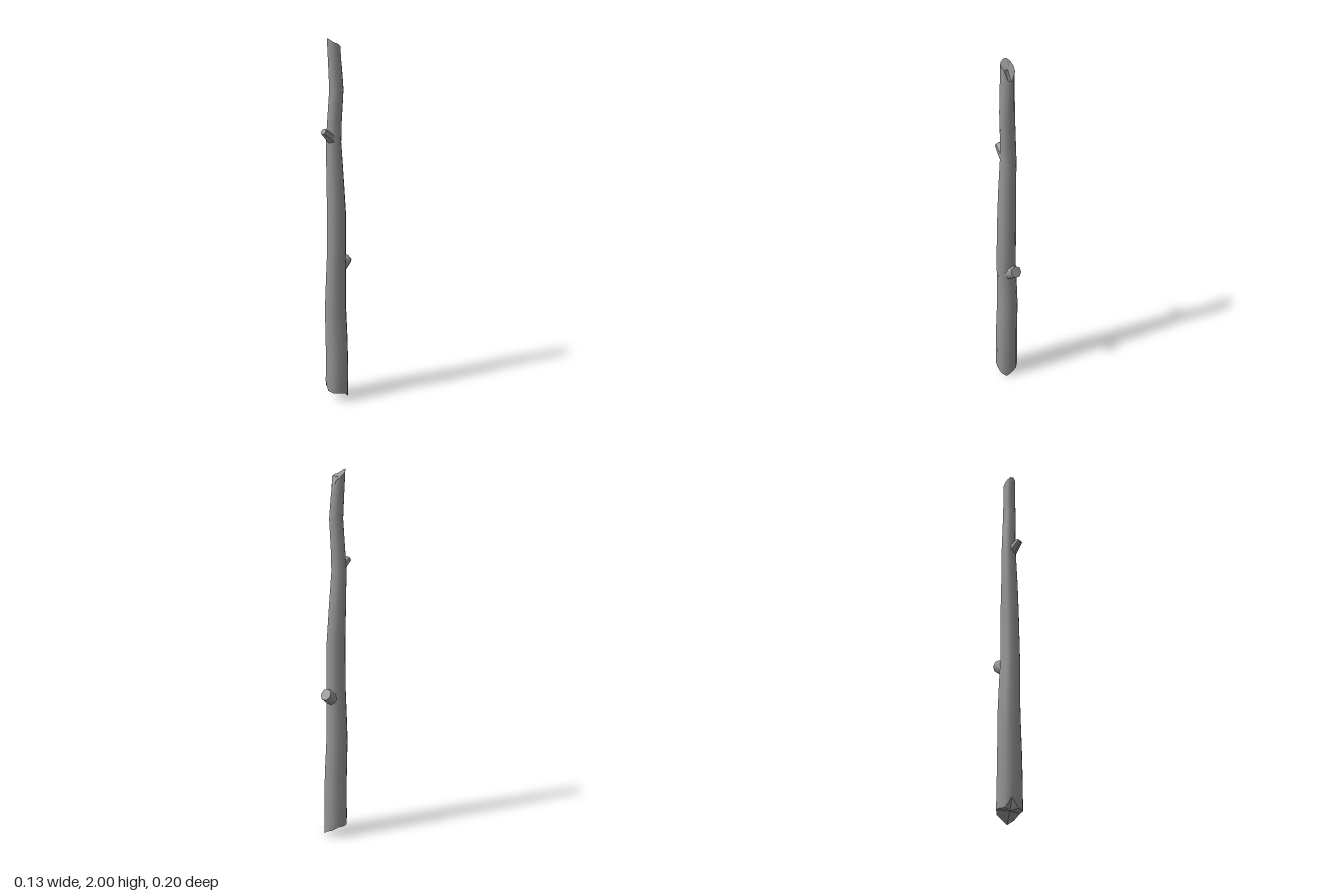
import * as THREE from 'three';

const SIDES = 12;
// centre line of the stick: y, centre x, centre z, radius x, radius z
const SECTIONS = [
  [0.20, 0, -0.001, 0.065, 0.064],
  [0.36, -0.002, 0, 0.062, 0.063],
  [0.55, -0.008, 0.003, 0.058, 0.061],
  [0.70, -0.005, 0.003, 0.055, 0.057],
  [0.85, 0, 0.003, 0.052, 0.054],
  [1.10, -0.002, 0.001, 0.050, 0.052],
  [1.30, -0.008, 0.006, 0.046, 0.046],
  [1.48, -0.016, 0.009, 0.042, 0.040],
  [1.58, -0.013, 0.006, 0.039, 0.038],
  [1.75, -0.004, 0, 0.037, 0.037],
  [1.86, -0.008, 0.005, 0.035, 0.035],
];
// jagged heights of the broken ends, one per side, starting at +x towards +z
const BOTTOM = [0.05, 0.055, 0.055, 0.06, 0.11, 0.06, 0.06, 0.06, 0.04, 0.025, 0, 0.02];
const TOP = [1.975, 1.98, 1.99, 2, 2, 1.985, 1.97, 1.955, 1.94, 1.91, 1.92, 1.965];

function ring(heights, [y, cx, cz, rx, rz]) {
  return Array.from({ length: SIDES }, (_, i) => {
    const a = (i / SIDES) * Math.PI * 2;
    return new THREE.Vector3(cx + rx * Math.cos(a), heights ? heights[i] : y, cz + rz * Math.sin(a));
  });
}

function addMesh(group, name, geometry, flatShading) {
  const material = new THREE.MeshStandardMaterial({ color: 0x969696, flatShading, side: THREE.DoubleSide });
  const mesh = new THREE.Mesh(geometry, material);
  mesh.name = name;
  group.add(mesh);
  return mesh;
}

// smooth bark surface through all rings
function barkGeometry(rings) {
  const index = [];
  for (let j = 0; j < rings.length - 1; j++) {
    for (let i = 0; i < SIDES; i++) {
      const a = j * SIDES + i;
      const b = j * SIDES + ((i + 1) % SIDES);
      index.push(a, a + SIDES, b, b, a + SIDES, b + SIDES);
    }
  }
  const geometry = new THREE.BufferGeometry().setFromPoints(rings.flat());
  geometry.setIndex(index);
  geometry.computeVertexNormals();
  return geometry;
}

// fan of facets from a ring to a centre point
function capGeometry(points, centre, up) {
  const corners = [];
  points.forEach((p, i) => {
    const q = points[(i + 1) % points.length];
    corners.push(centre, up ? q : p, up ? p : q);
  });
  const geometry = new THREE.BufferGeometry().setFromPoints(corners);
  geometry.computeVertexNormals();
  return geometry;
}

// short tapered stub between two points
function addStub(group, name, from, to, rFrom, rTo, sides, flat) {
  const start = new THREE.Vector3(...from);
  const dir = new THREE.Vector3(...to).sub(start);
  const stub = addMesh(group, name, new THREE.CylinderGeometry(rTo, rFrom, dir.length(), sides), flat);
  stub.position.copy(start).addScaledVector(dir, 0.5);
  stub.quaternion.setFromUnitVectors(new THREE.Vector3(0, 1, 0), dir.normalize());
}

export function createModel() {
  const group = new THREE.Group();
  group.name = 'woodenStick';

  const bottom = ring(BOTTOM, [0, -0.001, -0.001, 0.066, 0.065]);
  const top = ring(TOP, [2, -0.012, 0.010, 0.033, 0.036]);
  const rings = [bottom, ...SECTIONS.map((s) => ring(null, s)), top];

  // trunk and its broken ends
  addMesh(group, 'bark', barkGeometry(rings), false);
  addMesh(group, 'brokenBottom', capGeometry(bottom, new THREE.Vector3(-0.001, 0.055, 0), false), true);
  addMesh(group, 'brokenTop', capGeometry(top, new THREE.Vector3(-0.011, 1.96, 0.006), true), true);

  // snapped-off twigs
  addStub(group, 'frontTwig', [-0.007, 1.5, 0.028], [-0.004, 1.543, 0.087], 0.029, 0.018, 6, true);
  addStub(group, 'backTwig', [-0.003, 0.792, -0.02], [-0.013, 0.829, -0.083], 0.042, 0.033, 7, false);
  return group;
}
